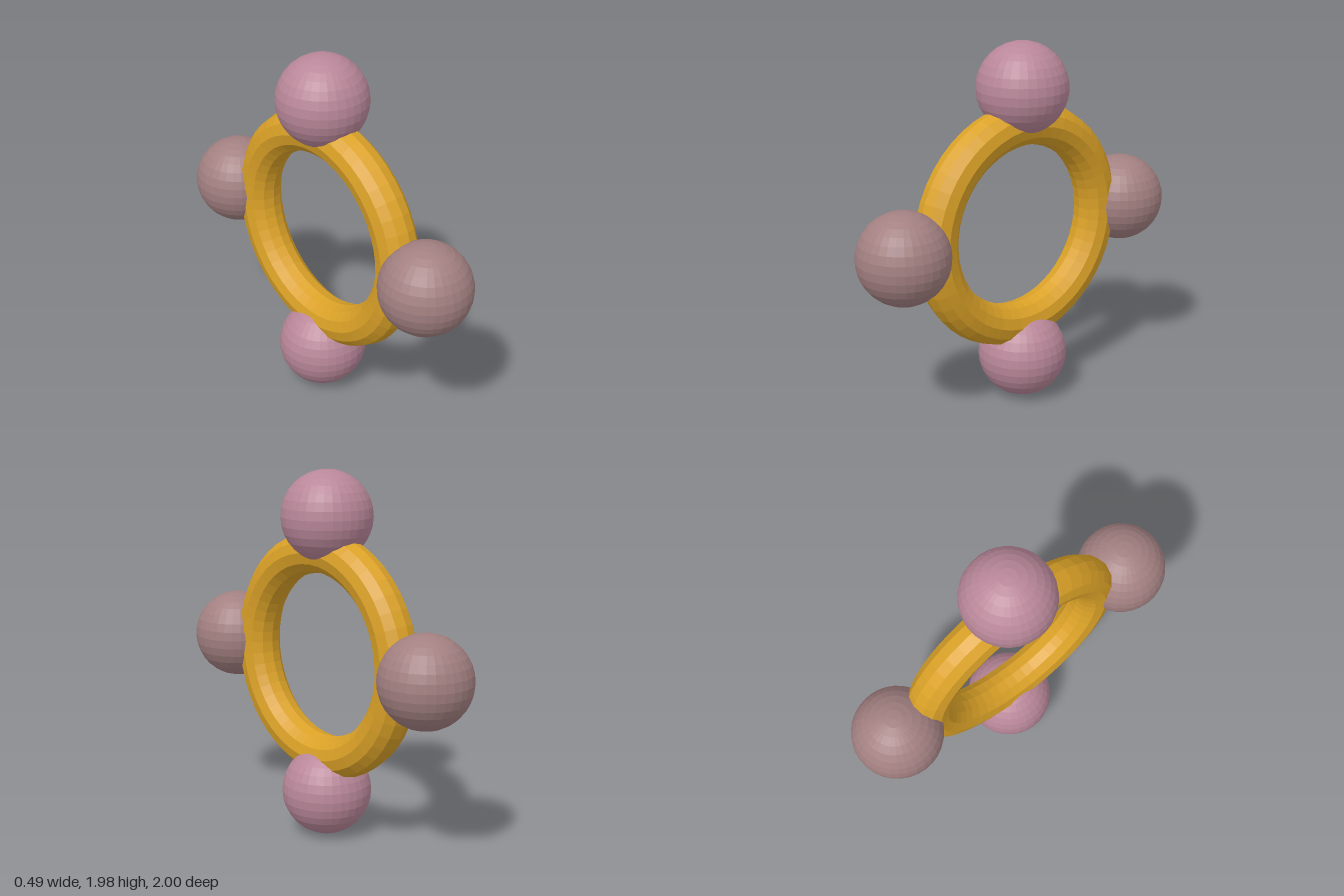
import * as THREE from 'three';

const material = (color) => new THREE.MeshStandardMaterial({ color, flatShading: true });

export function createModel() {
  const model = new THREE.Group();
  const centreY = 0.995;

  // Upright ring, its axis along x
  const ring = new THREE.Mesh(new THREE.TorusGeometry(0.555, 0.114, 12, 48), material(0xdaa127));
  ring.name = 'ring';
  ring.rotation.y = Math.PI / 2;
  ring.position.y = centreY;
  model.add(ring);

  // Four balls around the rim
  const ballGeometry = new THREE.SphereGeometry(0.243, 32, 16);
  const pink = material(0xb98799);
  const mauve = material(0xa38081);
  const balls = [
    ['topBall', 0.746, -0.023, pink],
    ['bottomBall', -0.746, -0.023, pink],
    ['frontBall', 0, 0.757, mauve],
    ['backBall', 0, -0.757, mauve],
  ];
  for (const [name, y, z, mat] of balls) {
    const ball = new THREE.Mesh(ballGeometry, mat);
    ball.name = name;
    ball.position.set(0, centreY + y, z);
    model.add(ball);
  }
  return model;
}
